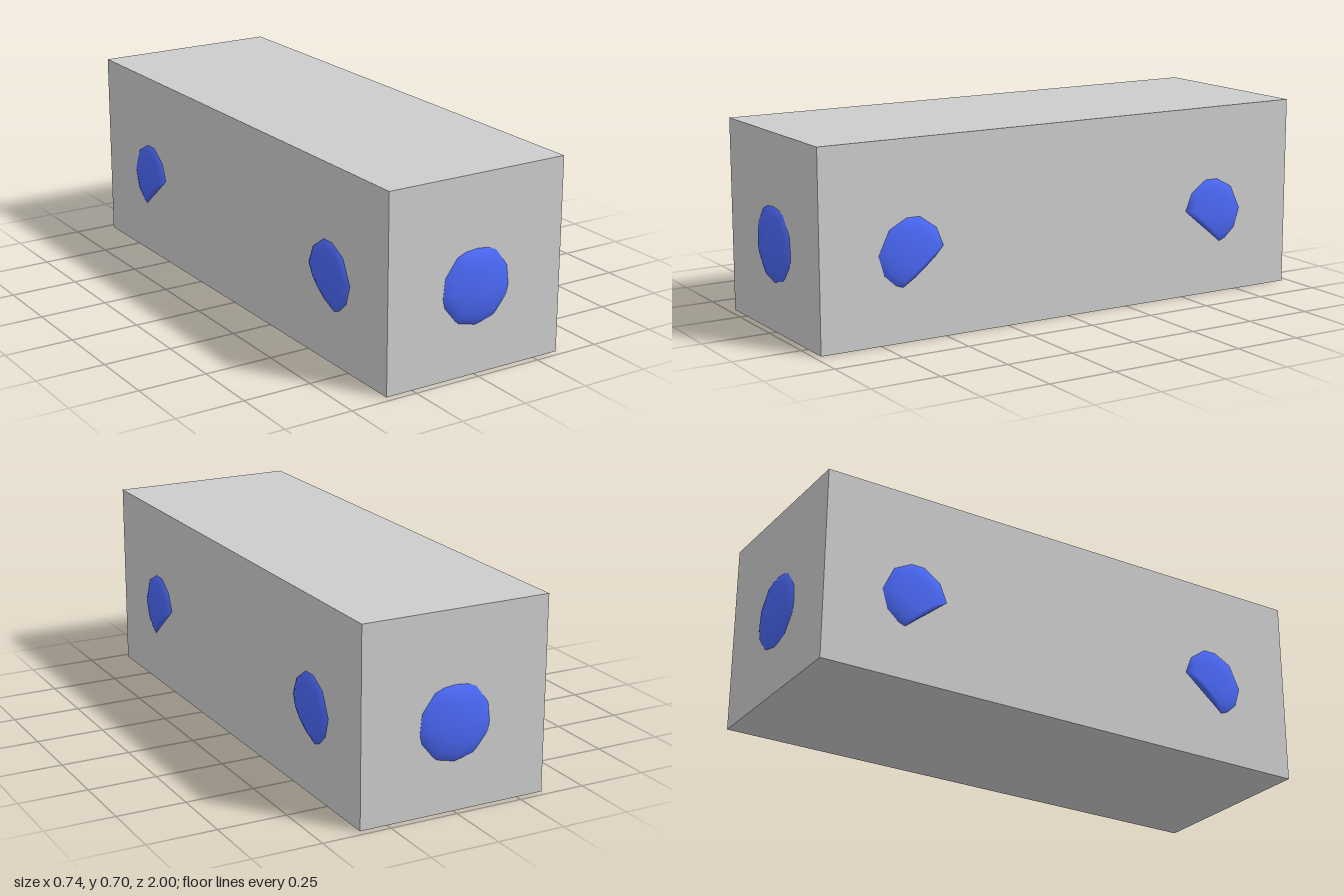
import * as THREE from 'three';

const grey = new THREE.MeshStandardMaterial({ color: 0xcccccc });
const blue = new THREE.MeshStandardMaterial({ color: 0x4a68f5 });

// Shallow bulge over a counter-clockwise outline, rising along +z, with a short skirt
function domeGeometry(outline, height, radius) {
  const n = outline.length;
  const rise = (x, y) => height * Math.max(0, 1 - (Math.hypot(x, y) / radius) ** 3);
  const positions = [0, 0, height];
  const index = [];
  const rings = [[0.5, true], [0.8, true], [1, true], [1, false]];
  rings.forEach(([s, raised], r) => {
    outline.forEach(([x, y], i) => {
      positions.push(x * s, y * s, raised ? rise(x * s, y * s) : -0.008);
      const j = (i + 1) % n;
      const a = 1 + r * n + i, b = 1 + r * n + j;
      if (r === 0) index.push(0, a, b);
      else index.push(a - n, a, b, a - n, b, b - n);
    });
  });
  const geometry = new THREE.BufferGeometry();
  geometry.setAttribute('position', new THREE.Float32BufferAttribute(positions, 3));
  geometry.setIndex(index);
  geometry.computeVertexNormals();
  return geometry;
}

const mirror = (points) => points.map(([x, y]) => [-x, y]).reverse();

export function createModel() {
  const group = new THREE.Group();

  // Long block
  const body = new THREE.Mesh(new THREE.BoxGeometry(0.7, 0.7, 1.95), grey);
  body.name = 'body';
  body.position.y = 0.35;
  group.add(body);

  // Round bulges on both ends
  const half = [
    [0.068, -0.117], [0.083, -0.103], [0.125, -0.052], [0.133, -0.018],
    [0.125, 0.052], [0.078, 0.115], [0.045, 0.128],
  ];
  const round = [[0, -0.133], ...half, [0, 0.133], ...mirror(half)];
  const endGeometry = domeGeometry(round, 0.025, 0.134);
  for (const side of [1, -1]) {
    const bulge = new THREE.Mesh(endGeometry, blue);
    bulge.name = side > 0 ? 'frontBulge' : 'backBulge';
    bulge.position.set(0, 0.31, side * 0.975);
    bulge.rotation.y = side > 0 ? 0 : Math.PI;
    group.add(bulge);
  }

  // Side bulges, cut by a slanted straight edge towards the lower middle
  const cut = [
    [-0.037, -0.117], [0.001, -0.085], [0.041, -0.053], [0.08, -0.021], [0.119, 0.011],
    [0.092, 0.076], [0.03, 0.12], [-0.02, 0.12], [-0.085, 0.086], [-0.127, 0],
    [-0.106, -0.07], [-0.064, -0.107],
  ];
  const cutGeometry = domeGeometry(cut, 0.021, 0.126);
  const mirroredGeometry = domeGeometry(mirror(cut), 0.021, 0.126);
  for (const sx of [1, -1]) {
    for (const sz of [1, -1]) {
      const bulge = new THREE.Mesh(sx * sz > 0 ? cutGeometry : mirroredGeometry, blue);
      bulge.name = (sz > 0 ? 'front' : 'back') + (sx > 0 ? 'Left' : 'Right') + 'SideBulge';
      bulge.position.set(sx * 0.35, 0.31, sz * 0.63);
      bulge.rotation.y = sx * Math.PI / 2;
      group.add(bulge);
    }
  }
  return group;
}
